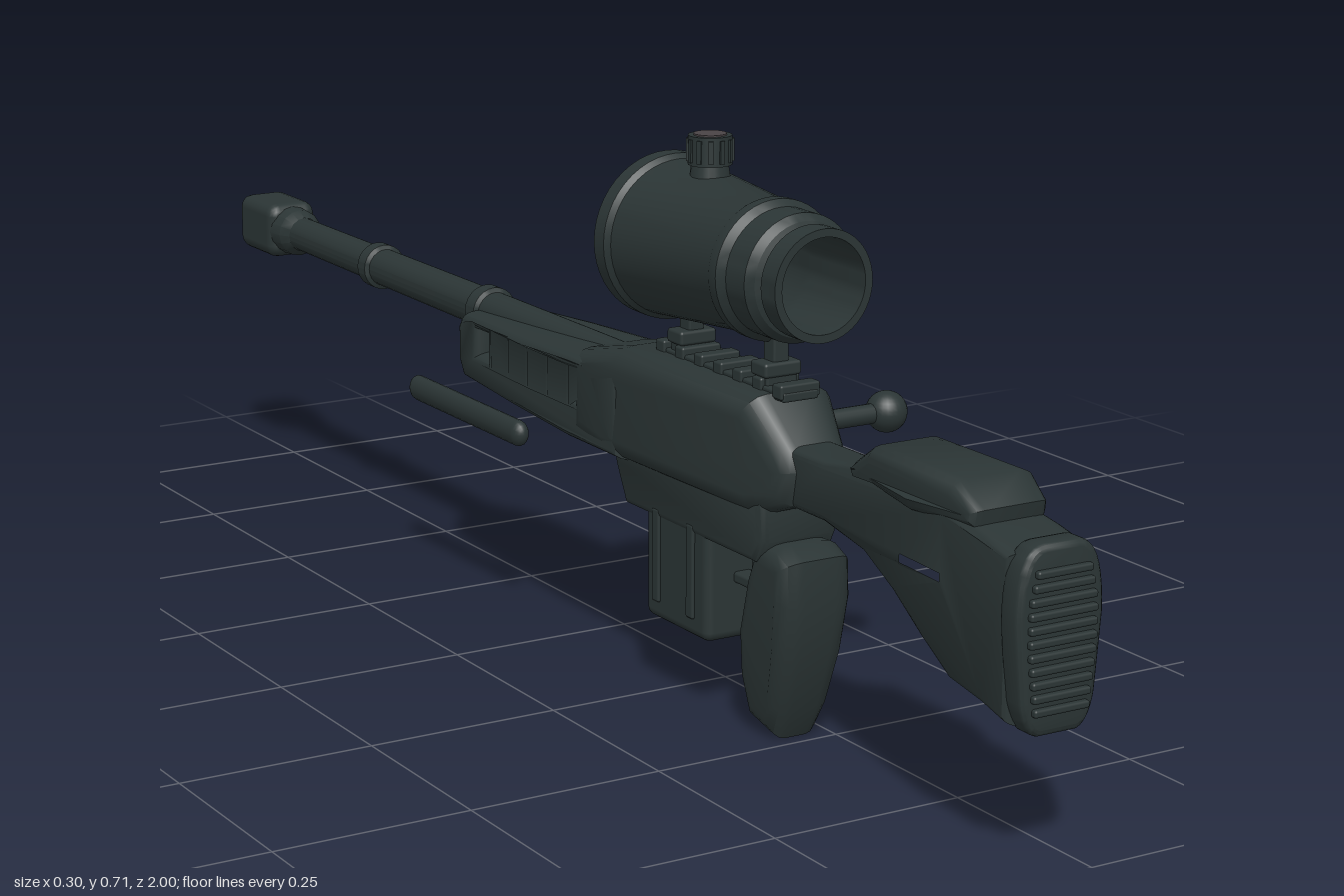
import * as THREE from 'three';
import { toCreasedNormals } from 'three/addons/utils/BufferGeometryUtils.js';
import { RoundedBoxGeometry } from 'three/addons/geometries/RoundedBoxGeometry.js';

const gunmetal = new THREE.MeshStandardMaterial({ color: 0x2b3535 });
gunmetal.name = 'gunmetal';
const bareSteel = new THREE.MeshStandardMaterial({ color: 0x4a4446 });
bareSteel.name = 'bareSteel';

// Linear interpolation through [t, value] stops, rising in t
function ramp(stops, t) {
  if (t <= stops[0][0]) return stops[0][1];
  for (let i = 1; i < stops.length; i++) {
    const [a, va] = stops[i - 1], [b, vb] = stops[i];
    if (t <= b) return va + (vb - va) * (t - a) / (b - a);
  }
  return stops[stops.length - 1][1];
}

// Side outline in [z, y], extruded across x with rounded edges and shaped by a width rule
function sidePart(points, half, bevel, { holes = [], width = null } = {}) {
  const shape = new THREE.Shape(points.map(p => new THREE.Vector2(...p)));
  for (const [z0, z1, y0, y1] of holes) {
    shape.holes.push(new THREE.Path([[z0, y0], [z0, y1], [z1, y1], [z1, y0]].map(p => new THREE.Vector2(...p))));
  }
  const depth = 2 * (half - bevel);
  const geo = new THREE.ExtrudeGeometry(shape, {
    depth, bevelEnabled: true, bevelThickness: bevel, bevelSize: holes.length ? bevel * 0.4 : bevel * 0.8,
    bevelOffset: holes.length ? -bevel * 0.4 : -bevel * 0.8, bevelSegments: 4
  });
  geo.translate(0, 0, -depth / 2).rotateY(-Math.PI / 2);
  if (width) {
    const p = geo.attributes.position;
    for (let i = 0; i < p.count; i++) p.setX(i, p.getX(i) * width(p.getZ(i), p.getY(i)));
  }
  return toCreasedNormals(geo, 0.7);
}

// Turned part along z from [z, radius] pairs, rising in z on the outside
function turned(profile, segments = 40) {
  const geo = new THREE.LatheGeometry(profile.map(([z, r]) => new THREE.Vector2(r, z)), segments);
  return toCreasedNormals(geo.rotateX(Math.PI / 2), 0.5);
}

export function createModel() {
  const model = new THREE.Group();
  model.name = 'rifle';
  const gun = new THREE.Group();
  gun.name = 'rifleBody';
  gun.position.x = -0.046;
  model.add(gun);

  const add = (name, geo, x = 0, y = 0, z = 0, mat = gunmetal) => {
    const mesh = new THREE.Mesh(geo, mat);
    mesh.name = name;
    mesh.position.set(x, y, z);
    gun.add(mesh);
    return mesh;
  };
  const box = (name, w, h, d, x, y, z, r = 0.005, mat = gunmetal) =>
    add(name, new RoundedBoxGeometry(w, h, d, 2, r), x, y, z, mat);

  // Barrel with collars, and the muzzle brake
  add('barrel', turned([[-0.9, 0], [-0.9, 0.024], [-0.615, 0.025], [-0.612, 0.032], [-0.59, 0.032], [-0.587, 0.026],
    [-0.29, 0.027], [-0.288, 0.033], [-0.265, 0.033], [-0.262, 0.027], [0.12, 0.027], [0.12, 0]], 24), 0, 0.376, 0);
  box('muzzleBrake', 0.076, 0.08, 0.115, 0, 0.376, -0.9425, 0.018);
  add('muzzleNeck', turned([[-0.9, 0.036], [-0.865, 0.034], [-0.85, 0.025]], 16), 0, 0.376, 0);

  // Handguard with through slots
  const slots = [];
  for (let i = 0; i < 6; i++) slots.push([-0.205 + i * 0.054, -0.17 + i * 0.054, 0.338, 0.368]);
  add('handguard', sidePart([[0.18, 0.398], [0.06, 0.398], [-0.1, 0.39], [-0.26, 0.382], [-0.275, 0.365], [-0.275, 0.315],
    [-0.255, 0.292], [-0.1, 0.287], [0.05, 0.28], [0.18, 0.28]], 0.072, 0.03, {
    holes: slots, width: z => ramp([[-0.28, 0.72], [-0.22, 0.85], [-0.05, 0.98], [0.18, 1]], z)
  }));
  box('handguardKeel', 0.05, 0.03, 0.3, 0, 0.287, -0.06, 0.01);

  // Floating side rods
  for (const s of [-1, 1]) {
    const rod = new THREE.CapsuleGeometry(0.0165, 0.277, 6, 16).rotateX(Math.PI / 2).scale(0.76, 1.06, 1);
    add(s > 0 ? 'leftRod' : 'rightRod', rod, s * 0.0775, 0.264, -0.2);
  }

  // Receiver and lower housing
  add('receiver', sidePart([[0.53, 0.345], [0.515, 0.37], [0.46, 0.425], [0.17, 0.425], [0.06, 0.4], [0.06, 0.29],
    [0.14, 0.278], [0.46, 0.278], [0.52, 0.3]], 0.073, 0.035, {
    width: z => ramp([[0.42, 1], [0.53, 0.6]], z)
  }));
  add('lowerHousing', sidePart([[0.48, 0.3], [0.14, 0.3], [0.145, 0.27], [0.17, 0.222], [0.47, 0.222], [0.485, 0.25]], 0.055, 0.012));
  box('portFrame', 0.01, 0.053, 0.165, 0.07, 0.37, 0.235, 0.003);
  box('ejectionPort', 0.008, 0.036, 0.14, 0.073, 0.37, 0.235, 0.002, bareSteel);

  // Top rail teeth
  box('railBase', 0.05, 0.012, 0.29, 0, 0.424, 0.34, 0.003);
  for (let i = 0; i < 7; i++) box('railTooth', 0.056, 0.018, 0.02, 0, 0.43, 0.21 + i * 0.044, 0.003);

  // Bolt handle
  add('boltStem', new THREE.CylinderGeometry(0.0125, 0.0125, 0.12, 16).rotateZ(Math.PI / 2), 0.11, 0.367, 0.415);
  add('boltKnob', new THREE.SphereGeometry(0.026, 24, 16), 0.171, 0.367, 0.415);

  // Stock with cut-out, cheek rest and ribbed butt pad
  add('stock', sidePart([[0.5, 0.372], [0.58, 0.373], [0.65, 0.384], [0.74, 0.39], [0.84, 0.387], [0.92, 0.375], [0.97, 0.365],
    [0.97, 0.168], [0.92, 0.18], [0.86, 0.19], [0.8, 0.222], [0.74, 0.258], [0.67, 0.284], [0.58, 0.297], [0.5, 0.297]], 0.053, 0.025, {
    holes: [[0.747, 0.85, 0.289, 0.319]],
    width: z => ramp([[0.5, 0.62], [0.64, 0.62], [0.72, 0.85], [0.86, 1], [0.97, 1]], z)
  }));
  add('cheekRest', sidePart([[0.63, 0.375], [0.645, 0.388], [0.7, 0.42], [0.865, 0.42], [0.905, 0.395], [0.9, 0.37], [0.78, 0.362]], 0.058, 0.022, {
    width: z => ramp([[0.63, 0.6], [0.7, 0.95], [0.87, 1], [0.91, 0.85]], z)
  }));
  const padShape = new THREE.Shape();
  padShape.moveTo(-0.026, 0.16);
  padShape.lineTo(0.026, 0.16);
  padShape.quadraticCurveTo(0.044, 0.165, 0.05, 0.2);
  padShape.lineTo(0.058, 0.29);
  padShape.quadraticCurveTo(0.058, 0.375, 0.022, 0.376);
  padShape.lineTo(-0.022, 0.376);
  padShape.quadraticCurveTo(-0.058, 0.375, -0.058, 0.29);
  padShape.lineTo(-0.05, 0.2);
  padShape.quadraticCurveTo(-0.044, 0.165, -0.026, 0.16);
  add('buttPad', toCreasedNormals(new THREE.ExtrudeGeometry(padShape, {
    depth: 0.02, bevelThickness: 0.008, bevelSize: 0.008, bevelOffset: -0.008, bevelSegments: 3, curveSegments: 10
  }), 0.7), 0, 0, 0.965);
  for (let i = 0; i < 11; i++) {
    const y = 0.19 + i * 0.0155;
    box('padRib', ramp([[0.19, 0.074], [0.26, 0.09], [0.31, 0.09], [0.345, 0.074]], y), 0.009, 0.012, 0, y, 0.994, 0.003);
  }

  // Pistol grip
  add('grip', sidePart([[0.53, 0.235], [0.5, 0.248], [0.455, 0.245], [0.435, 0.2], [0.415, 0.13], [0.412, 0.07],
    [0.422, 0.015], [0.48, 0], [0.5, 0.04], [0.52, 0.11], [0.533, 0.18]], 0.05, 0.028, {
    width: (z, y) => ramp([[0, 0.68], [0.08, 0.9], [0.15, 1]], y)
  }));

  // Trigger and guard
  box('triggerGuard', 0.025, 0.014, 0.1, 0, 0.17, 0.4, 0.004);
  box('trigger', 0.014, 0.06, 0.012, 0, 0.2, 0.395, 0.004);

  // Magazine with raised ribs
  box('magazine', 0.104, 0.155, 0.145, 0, 0.168, 0.288, 0.012);
  for (const s of [-1, 1]) {
    for (const z of [0.245, 0.325]) box('magazineRib', 0.008, 0.12, 0.016, s * 0.052, 0.175, z, 0.003);
  }

  // Hollow scope tube
  add('scopeTube', turned([[0.18, 0.093], [0.18, 0.104], [0.203, 0.104], [0.21, 0.098], [0.405, 0.082], [0.415, 0.086],
    [0.43, 0.086], [0.44, 0.078], [0.48, 0.078], [0.49, 0.07], [0.493, 0.062], [0.5, 0.068], [0.53, 0.068],
    [0.53, 0.058], [0.42, 0.058], [0.4, 0.062], [0.2, 0.092], [0.18, 0.093]], 48), 0, 0.565, 0);

  // Scope mounts
  for (const z of [0.43, 0.24]) {
    box('mountClamp', 0.052, 0.018, 0.034, 0, 0.448, z, 0.004);
    box('mountFoot', 0.044, 0.022, 0.028, 0, 0.432, z, 0.004);
    box('mountPost', 0.022, z > 0.3 ? 0.05 : 0.035, 0.024, 0, z > 0.3 ? 0.477 : 0.465, z, 0.003);
  }

  // Adjustment turrets, knurled, with steel end discs
  const turret = (name, r, rise) => {
    const group = new THREE.Group();
    group.name = name;
    const put = (part, geo, y, mat = gunmetal) => {
      const mesh = new THREE.Mesh(geo, mat);
      mesh.name = part;
      mesh.position.y = y;
      group.add(mesh);
    };
    put('turretNeck', new THREE.CylinderGeometry(r * 0.75, r * 0.95, 0.04, 20), rise - 0.05);
    put('turretCap', new THREE.CylinderGeometry(r * 0.93, r * 0.93, 0.036, 20), rise - 0.019);
    for (let i = 0; i < 12; i++) {
      const a = i * Math.PI / 6;
      const geo = new THREE.BoxGeometry(r * 0.2, 0.028, r * 0.25).translate(0, 0, r * 0.88).rotateY(a);
      put('turretKnurl', geo, rise - 0.019);
    }
    put('turretDisc', new THREE.CylinderGeometry(r * 0.7, r * 0.7, 0.004, 20), rise - 0.001, bareSteel);
    group.position.set(0, 0.565, 0.28);
    gun.add(group);
    return group;
  };
  turret('topTurret', 0.029, 0.14);
  turret('sideTurret', 0.023, 0.132).rotation.z = -Math.PI / 2;

  return model;
}
